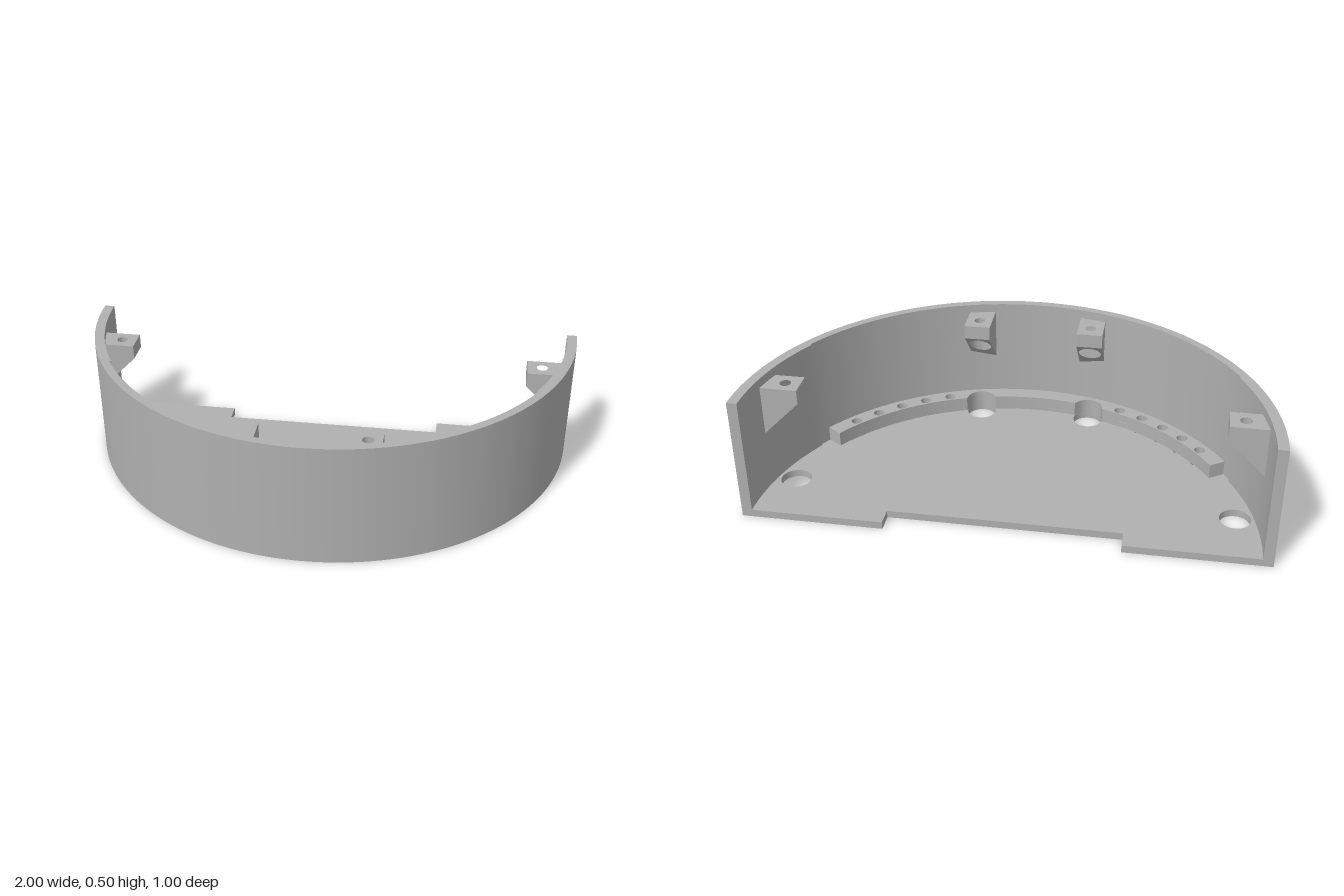
import * as THREE from 'three';
import { toCreasedNormals } from 'three/addons/utils/BufferGeometryUtils.js';

const BACK = -0.5; // centre of the half circle lies on the back edge
const rad = THREE.MathUtils.degToRad;
const polar = (r, deg) => new THREE.Vector2(r * Math.cos(rad(deg)), BACK + r * Math.sin(rad(deg)));

function arc(r, from, to) {
  const n = Math.ceil(Math.abs(to - from) / 2);
  return Array.from({ length: n + 1 }, (_, i) => polar(r, from + (to - from) * i / n));
}

// Extrude a plan outline (x, z) with round holes from y0 up to y1; adjust may move vertices
function slab(points, holes, y0, y1, adjust) {
  const shape = new THREE.Shape(points);
  for (const [c, r] of holes) {
    shape.holes.push(new THREE.Path().absarc(c.x, c.y, r, 0, Math.PI * 2, true));
  }
  const geo = new THREE.ExtrudeGeometry(shape, { depth: y1 - y0, bevelEnabled: false, curveSegments: 16 });
  geo.rotateX(Math.PI / 2).translate(0, y1, 0);
  if (adjust) adjust(geo.attributes.position);
  return toCreasedNormals(geo, rad(30));
}

export function createModel() {
  const model = new THREE.Group();
  model.name = 'halfRoundHousing';
  const grey = new THREE.MeshStandardMaterial({ color: 0xb0b0b0 });
  grey.name = 'grey';
  const add = (name, geo) => {
    const mesh = new THREE.Mesh(geo, grey);
    mesh.name = name;
    model.add(mesh);
  };

  // Screw positions
  const postAngles = [15, 75, 105, 165], postRadius = 0.889, accessRadius = 0.06;
  const ventCentres = [];
  for (let i = 0; i < 5; i++) {
    const a = 39.9 + 6.7 * i;
    ventCentres.push(polar(0.927, a), polar(0.927, 180 - a));
  }

  // Curved wall, slightly thicker near both ends
  add('wall', slab([
    ...arc(1, 0, 180), ...arc(0.96, 180, 150), ...arc(0.967, 150, 30), ...arc(0.96, 30, 0),
  ], [], 0, 0.5));

  // Floor with back notch, access holes and counterbores
  add('floor', slab([
    ...arc(0.967, 0, 180),
    ...[[-0.45, -0.5], [-0.45, -0.425], [0.45, -0.425], [0.45, -0.5]].map(p => new THREE.Vector2(...p)),
  ], [
    ...postAngles.map(a => [polar(postRadius, a), accessRadius]),
    ...ventCentres.map(c => [c, 0.033]),
  ], 0, 0.03));

  // Ledge along the wall, its inner edge cut back around the front access holes
  const inner = [];
  for (let a = 147; a >= 33; a -= 0.5) {
    let r = 0.9;
    for (const p of [75, 105]) {
      const d = rad(a - p), s = accessRadius ** 2 - (postRadius * Math.sin(d)) ** 2;
      if (s > 0) r = Math.max(r, postRadius * Math.cos(d) + Math.sqrt(s));
    }
    inner.push(polar(r, a));
  }
  const ledge = [...arc(0.98, 33, 147), ...inner];
  add('ledgeBase', slab(ledge, ventCentres.map(c => [c, 0.033]), 0.03, 0.055));
  add('ledgeTop', slab(ledge, ventCentres.map(c => [c, 0.022]), 0.055, 0.09));

  // Screw brackets: drilled block over a sloping gusset with a round pocket
  for (const front of [false, true]) {
    for (const side of [1, -1]) {
      const at = (u, v) => front
        ? new THREE.Vector2(side * v, BACK + u)
        : new THREE.Vector2(side * u, BACK + v);
      const outline = [at(0.8, 0.18), at(0.8, 0.285)];
      for (let i = 0; i <= 4; i++) {
        const v = 0.285 - 0.105 * i / 4;
        outline.push(at(Math.sqrt(0.975 ** 2 - v * v), v));
      }
      const centre = at(0.859, 0.2315);
      const name = (front ? 'front' : 'side') + (side > 0 ? 'Left' : 'Right');
      add(name + 'BracketBlock', slab(outline, [[centre, 0.022]], 0.41, 0.465));
      add(name + 'BracketGusset', slab(outline, [[centre, 0.046]], 0.3, 0.41, pos => {
        for (let i = 0; i < pos.count; i++) {
          if (pos.getY(i) > 0.35) continue;
          const u = front ? pos.getZ(i) - BACK : Math.abs(pos.getX(i));
          pos.setY(i, 0.408 - (u - 0.8));
        }
      }));
    }
  }
  return model;
}
